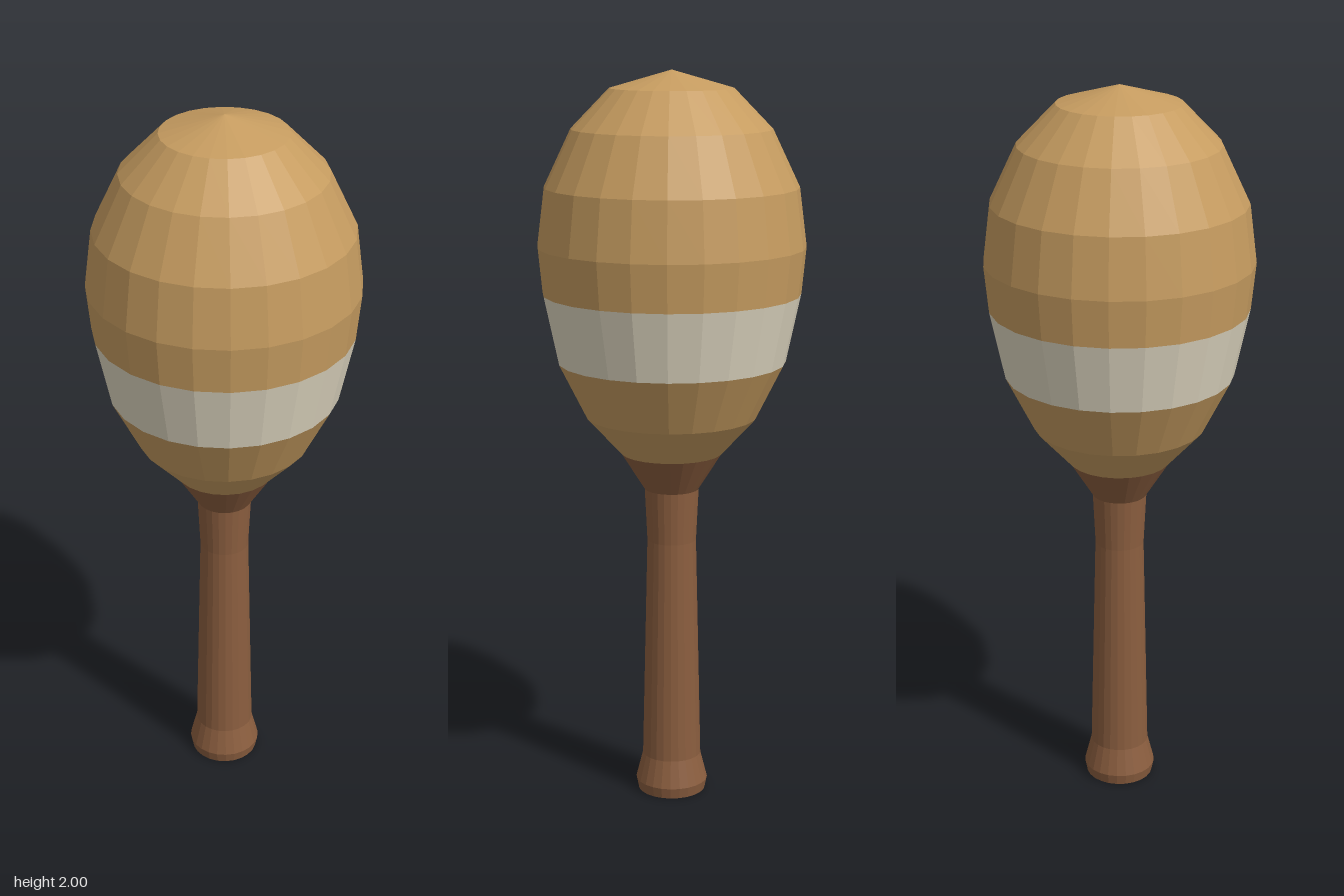
import * as THREE from 'three';

const SIDES = 24;

function makeMaterial(name, color) {
  const material = new THREE.MeshStandardMaterial({ color, flatShading: true });
  material.name = name;
  return material;
}

// Faceted turned part from [radius, height] pairs, bottom to top, with flat sides facing the axes
function turned(name, profile, material) {
  const points = profile.map(([r, y]) => new THREE.Vector2(r, y));
  const mesh = new THREE.Mesh(
    new THREE.LatheGeometry(points, SIDES, Math.PI / SIDES, Math.PI * 2), material);
  mesh.name = name;
  return mesh;
}

export function createModel() {
  const tan = makeMaterial('tan shell', 0xc69c60);
  const cream = makeMaterial('cream band', 0xded6c0);
  const brown = makeMaterial('brown wood', 0x8b5e3f);

  const model = new THREE.Group();
  model.name = 'maraca';

  // Handle with end knob and flared neck
  model.add(turned('handle', [
    [0, 0], [0.094, 0], [0.1, 0.03], [0.081, 0.105],
    [0.067, 0.73], [0.074, 0.875], [0.138, 0.977],
  ], brown));

  // Egg-shaped head, split around the painted band
  model.add(turned('headLower', [[0.138, 0.977], [0.232, 1.08], [0.307, 1.23]], tan));
  model.add(turned('headBand', [[0.307, 1.23], [0.346, 1.415]], cream));
  model.add(turned('headUpper', [
    [0.346, 1.415], [0.358, 1.54], [0.338, 1.697],
    [0.266, 1.848], [0.164, 1.953], [0, 2],
  ], tan));

  return model;
}
